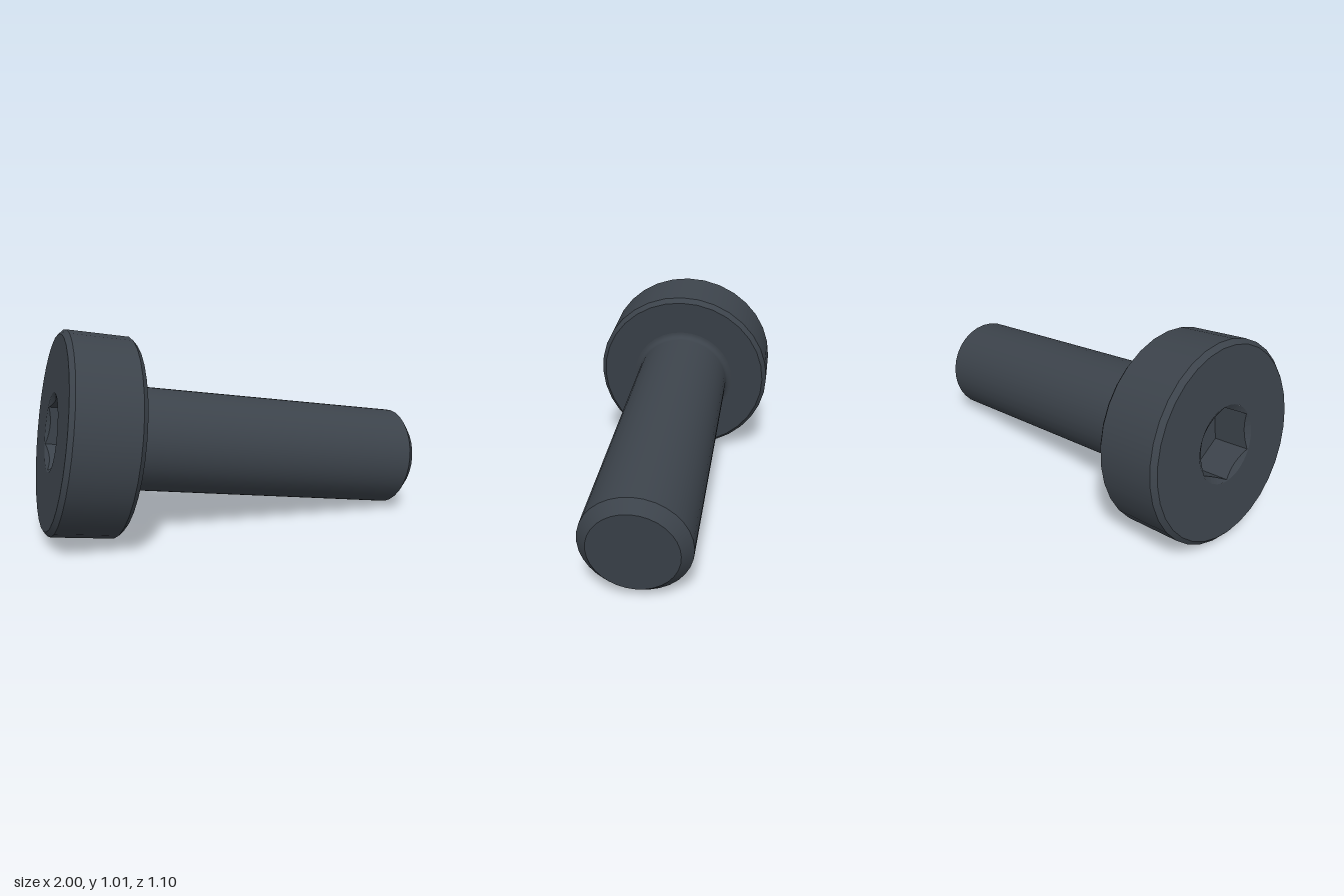
import * as THREE from 'three';
import { mergeGeometries } from 'three/addons/utils/BufferGeometryUtils.js';

const steel = new THREE.MeshStandardMaterial({ color: 0x3c434b });
steel.name = 'dark steel';

const SIDES = 32;

// Turned part: each section is smooth within itself and sharp against its neighbours
function turned(name, sections) {
  const parts = sections.map((pts) =>
    new THREE.LatheGeometry(pts.map(([r, y]) => new THREE.Vector2(r, y)), SIDES));
  const mesh = new THREE.Mesh(mergeGeometries(parts), steel);
  mesh.name = name;
  return mesh;
}

// Pairs each profile corner with the next one, giving sharp edges
const sharp = (pts) => pts.slice(1).map((p, i) => [pts[i], p]);

// Hexagonal recess with a conical lead-in, open towards -y
function hexSocket(top, depth, rimRadius, hexRadius) {
  const n = 48;
  const flat = hexRadius * Math.cos(Math.PI / 6);
  const rings = [[], [], [], []];
  for (let i = 0; i <= n; i++) {
    const a = (i / n) * Math.PI * 2;
    const r = flat / Math.cos((a % (Math.PI / 3)) - Math.PI / 6);
    const at = (rad, y) => [rad * Math.cos(a), y, rad * Math.sin(a)];
    rings[0].push(at(rimRadius, top));
    rings[1].push(at(r, top + (rimRadius - r) * 0.6));
    rings[2].push(at(r, top + depth));
    rings[3].push([0, top + depth, 0]);
  }
  const pos = [];
  for (let k = 0; k < 3; k++) {
    for (let i = 0; i < n; i++) {
      const [a0, a1] = [rings[k][i], rings[k][i + 1]];
      const [b0, b1] = [rings[k + 1][i], rings[k + 1][i + 1]];
      pos.push(...a0, ...a1, ...b0);
      if (k < 2) pos.push(...a1, ...b1, ...b0);
    }
  }
  const geo = new THREE.BufferGeometry();
  geo.setAttribute('position', new THREE.Float32BufferAttribute(pos, 3));
  geo.computeVertexNormals();
  const mesh = new THREE.Mesh(geo, steel);
  mesh.name = 'hexSocket';
  return mesh;
}

export function createModel() {
  const model = new THREE.Group();
  model.name = 'capScrew';

  // Screw is built along +y (head low, tip high), then tilted into place
  const screw = new THREE.Group();
  screw.name = 'screw';

  // Low cylindrical head with small chamfers on both rims
  screw.add(turned('head', sharp([
    [0.19, -0.91], [0.467, -0.91], [0.49, -0.888],
    [0.49, -0.592], [0.467, -0.568], [0.25, -0.568],
  ])));

  screw.add(hexSocket(-0.91, 0.19, 0.19, 0.185));

  // Shank: fillet under the head, plain cylinder, chamfered tip
  const R = 0.256, f = 0.03;
  const fillet = [];
  for (let i = 0; i <= 5; i++) {
    const a = (i / 5) * Math.PI / 2;
    fillet.push([R + f - f * Math.sin(a), -0.568 + f - f * Math.cos(a)]);
  }
  screw.add(turned('shank', [
    [...fillet, [R, -0.535], [R, 0.929]],
    ...sharp([[R, 0.929], [0.206, 0.979], [0, 0.979]]),
  ]));

  // Tilt so the shank runs towards +x, slightly down and forward
  const axis = new THREE.Vector3(1, -0.153, 0.213).normalize();
  const up = new THREE.Vector3(0, 1, 0).addScaledVector(axis, -axis.y).normalize();
  const side = new THREE.Vector3().crossVectors(up, axis);
  screw.quaternion.setFromRotationMatrix(new THREE.Matrix4().makeBasis(up, axis, side));
  screw.position.set(0, 0.394, 0.106);

  model.add(screw);
  return model;
}
